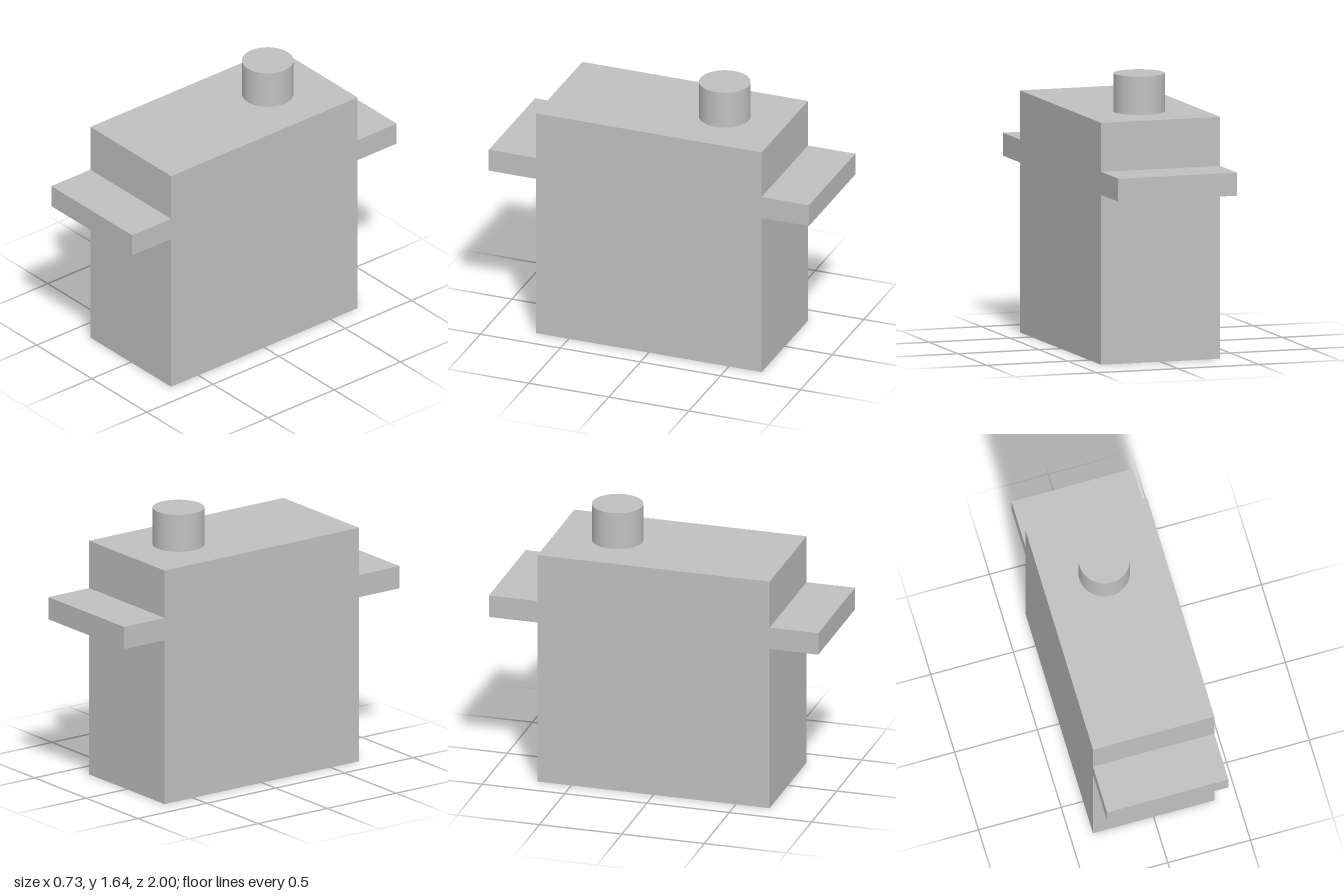
import * as THREE from 'three';

export function createModel() {
  const group = new THREE.Group();
  group.name = 'servoMotor';
  const grey = new THREE.MeshStandardMaterial({ color: 0xc0c0c0 });
  grey.name = 'light grey';

  const width = 0.734, halfLength = 0.705, height = 1.42;
  const earLow = 0.997, earHigh = 1.132, earReach = 1;

  // Case with mounting ears: side outline (z, y) mirrored, extruded across x
  const half = [
    [halfLength, 0], [halfLength, earLow], [earReach, earLow],
    [earReach, earHigh], [halfLength, earHigh], [halfLength, height],
  ];
  const mirrored = half.map(([z, y]) => [-z, y]).reverse();
  const outline = new THREE.Shape([...half, ...mirrored].map(([z, y]) => new THREE.Vector2(z, y)));
  const caseGeometry = new THREE.ExtrudeGeometry(outline, { depth: width, bevelEnabled: false });
  caseGeometry.translate(0, 0, -width / 2).rotateY(-Math.PI / 2);
  const body = new THREE.Mesh(caseGeometry, grey);
  body.name = 'caseWithMountingEars';
  group.add(body);

  // Output shaft, standing on the case towards the back
  const shaftHeight = 0.225;
  const shaft = new THREE.Mesh(new THREE.CylinderGeometry(0.15, 0.15, shaftHeight, 64), grey);
  shaft.name = 'outputShaft';
  shaft.position.set(0, height + shaftHeight / 2, -0.33);
  group.add(shaft);

  return group;
}
